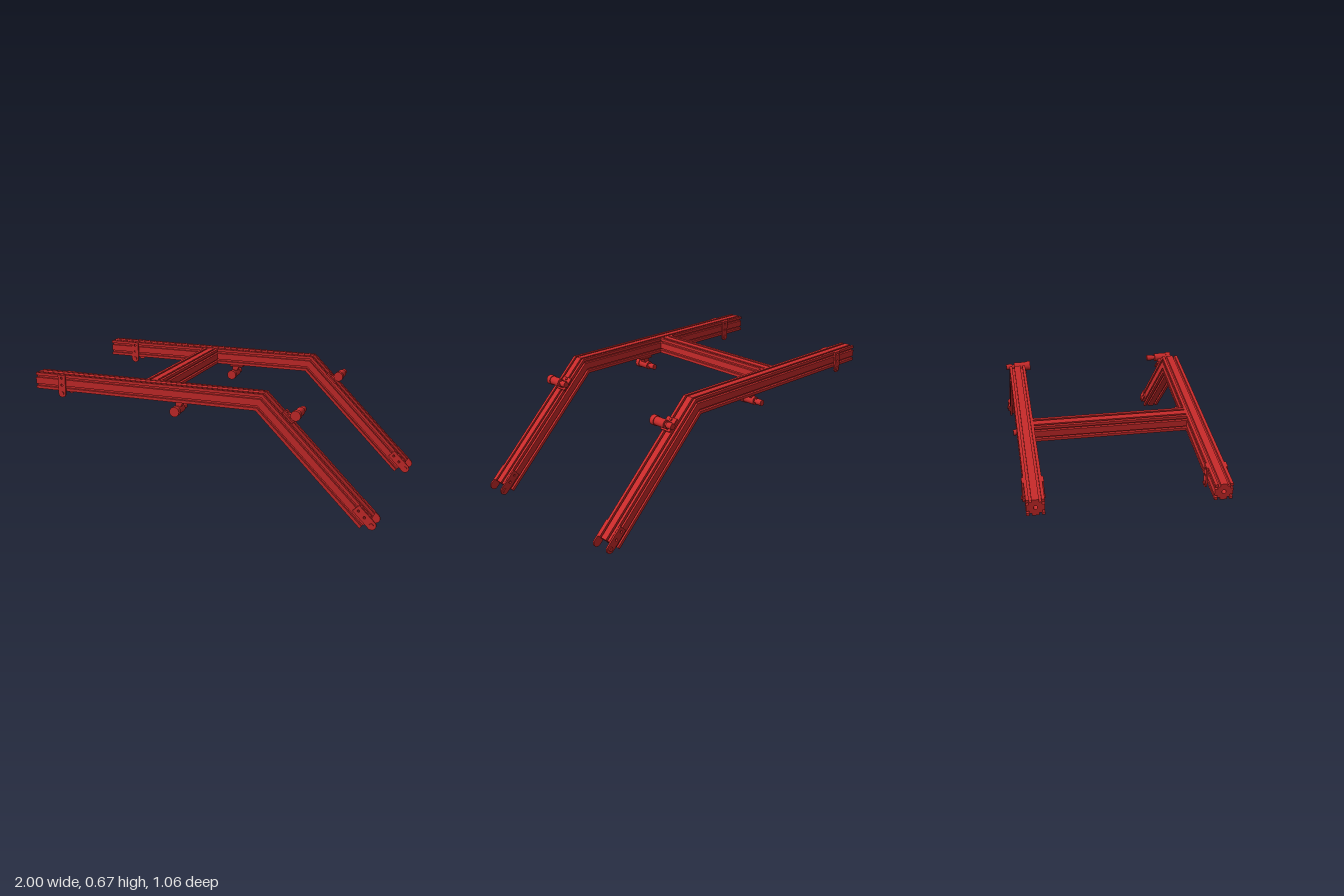
import * as THREE from 'three';

const W = 0.093, H = W / 2;            // rail cross-section
const TOP = 0.674, RAIL_Z = 0.467;
const MITRE = Math.tan(Math.PI / 8);
const BEND = { x: 0.347, y: TOP - H }; // where the rail turns down
const LEG = 0.841;
const red = new THREE.MeshStandardMaterial({ color: 0xc92a2a });

function mesh(name, geometry, parent, x = 0, y = 0, z = 0) {
  const m = new THREE.Mesh(geometry, red);
  m.name = name;
  m.position.set(x, y, z);
  parent.add(m);
  return m;
}

function group(name, parent, x = 0, y = 0, z = 0) {
  const g = new THREE.Group();
  g.name = name;
  g.position.set(x, y, z);
  parent.add(g);
  return g;
}

// Square profile with two grooves in every face and a central bore
function profile() {
  const a = H - 0.016, b = H - 0.028, depth = H - 0.014;
  const side = [[-H, H], [-a, H], [-a, depth], [-b, depth], [-b, H],
    [b, H], [b, depth], [a, depth], [a, H]];
  const pts = [];
  for (let i = 0; i < 4; i++) {
    for (const [x, y] of side) {
      pts.push(new THREE.Vector2(x, y).rotateAround(new THREE.Vector2(), -i * Math.PI / 2));
    }
  }
  const shape = new THREE.Shape(pts);
  shape.holes.push(new THREE.Path().absarc(0, 0, 0.011, 0, Math.PI * 2));
  return shape;
}

// Rail along x; its ends may slope with height to make a mitre
function rail(start, end) {
  const g = new THREE.ExtrudeGeometry(profile(), { depth: 1, bevelEnabled: false, curveSegments: 8 });
  g.rotateY(Math.PI / 2);
  const p = g.attributes.position;
  for (let i = 0; i < p.count; i++) {
    p.setX(i, p.getX(i) < 0.5 ? start(p.getY(i)) : end(p.getY(i)));
  }
  g.computeVertexNormals();
  return g;
}

function rod(r, z0, z1) {
  return new THREE.CylinderGeometry(r, r, z1 - z0, 24)
    .rotateX(Math.PI / 2).translate(0, 0, (z0 + z1) / 2);
}

// Pair of round-ended straps, one on each side of a rail, pointing along +x
function strapPair(name, parent, x, y, angle, length, r) {
  const pair = group(name, parent, x, y);
  pair.rotation.z = angle;
  const shape = new THREE.Shape();
  shape.moveTo(0, -r);
  shape.lineTo(length, -r);
  shape.absarc(length, 0, r, -Math.PI / 2, Math.PI / 2);
  shape.lineTo(0, r);
  for (const t of [0.17, 0.55]) {
    shape.holes.push(new THREE.Path().absarc(length * t, 0, 0.007, 0, Math.PI * 2));
  }
  const plate = new THREE.ExtrudeGeometry(shape, { depth: 0.009, bevelEnabled: false, curveSegments: 16 });
  for (const s of [1, -1]) {
    mesh('strap', plate, pair, 0, 0, s > 0 ? H : -H - 0.009);
    mesh('strapBolt', rod(0.012, -0.003, 0.003), pair, length, 0, s * (H + 0.012));
  }
}

// Cylindrical sensor on a foot plate; local y points away from the rail
function sensor(name, parent, x, y, z, angle) {
  const g = group(name, parent, x, y, z);
  g.rotation.z = angle;
  mesh('footPlate', new THREE.BoxGeometry(0.08, 0.009, 0.07), g, -0.02, 0.0045, 0.01);
  const web = new THREE.Shape([[-0.035, 0.006], [0.012, 0.006], [0.012, 0.05], [-0.012, 0.05]]
    .map(([u, v]) => new THREE.Vector2(u, v)));
  mesh('bracketArm', new THREE.ExtrudeGeometry(web, { depth: 0.036, bevelEnabled: false }), g, 0, 0, -0.008);
  mesh('footScrew', new THREE.CylinderGeometry(0.008, 0.008, 0.006, 12), g, -0.047, 0.012, 0.01);
  const parts = [['sensorHead', 0.028, 0.046, 0.074], ['sensorBody', 0.024, -0.025, 0.046],
    ['sensorNeck', 0.012, -0.037, -0.025], ['sensorTip', 0.017, -0.074, -0.037]];
  for (const [n, r, z0, z1] of parts) mesh(n, rod(r, z0, z1), g, 0, 0.057);
}

export function createModel() {
  const model = new THREE.Group();
  model.name = 'railFrame';

  for (const s of [1, -1]) {
    const side = group(s > 0 ? 'frontRail' : 'backRail', model, 0, 0, s * RAIL_Z);

    // Level rail and sloping leg, mitred together
    mesh('levelRail', rail(() => -1, v => BEND.x + v * MITRE), side, 0, BEND.y);
    const leg = group('leg', side, BEND.x, BEND.y);
    leg.rotation.z = -Math.PI / 4;
    mesh('slopingRail', rail(v => -v * MITRE, () => LEG), leg);

    // Straps at the foot of the leg and near the far end
    strapPair('footStraps', leg, 0.745, 0.02, 0, LEG + 0.026 - 0.745, 0.025);
    strapPair('endStraps', side, -0.829, TOP, -Math.PI / 2, 0.106, 0.023);

    // Sensors under the level rail and on top of the leg
    const z = s > 0 ? -0.033 : 0.0125;
    sensor('lowerSensor', side, -0.142, TOP - W, z, Math.PI);
    sensor('legSensor', side, 0.507, 0.533, z, -Math.PI / 4);
  }

  // Cross rail between the two sides
  const half = RAIL_Z - H;
  const cross = mesh('crossRail', rail(() => -half, () => half), model, -0.297, TOP - H, 0);
  cross.rotation.y = Math.PI / 2;

  return model;
}
